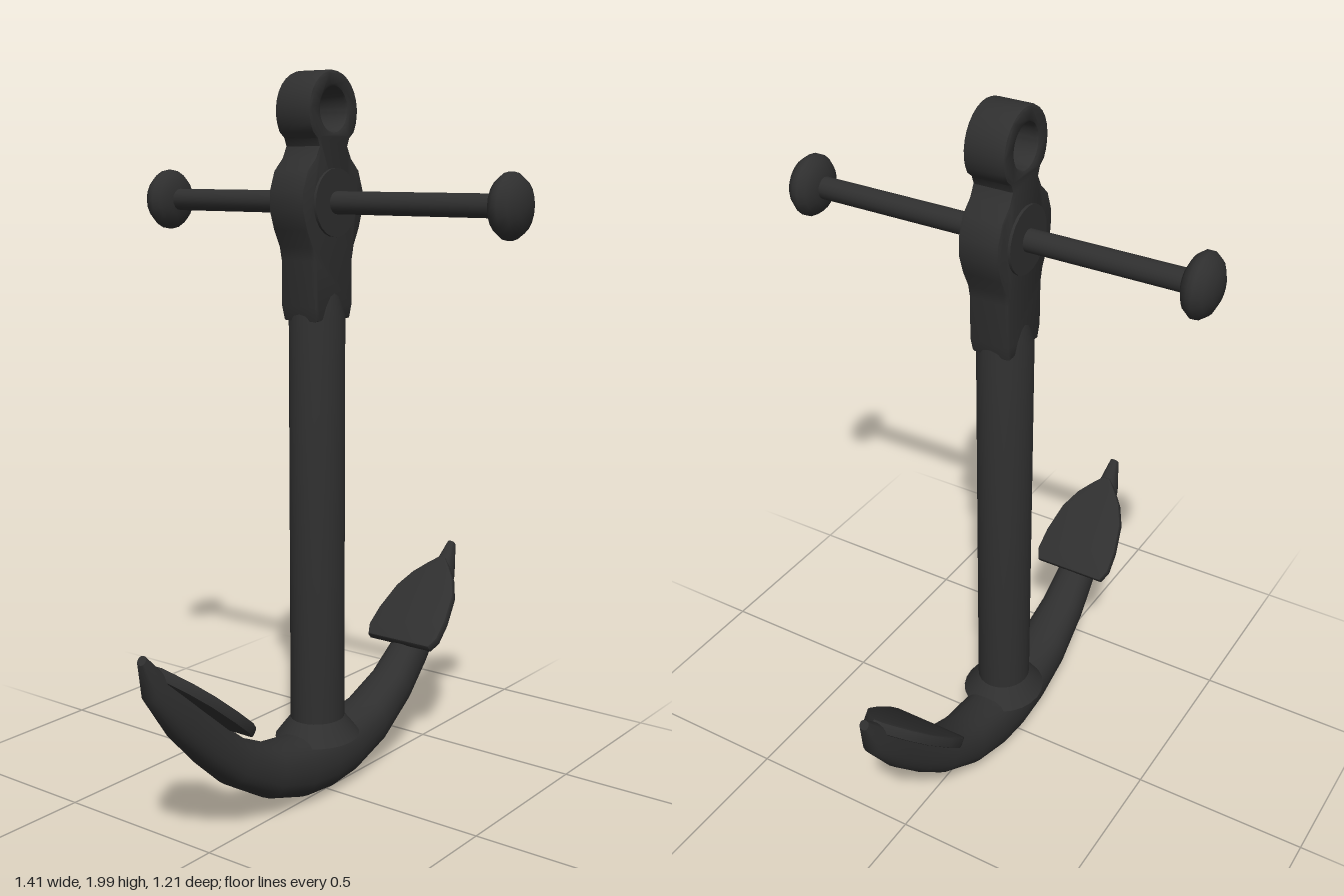
import * as THREE from 'three';
import { toCreasedNormals } from 'three/addons/utils/BufferGeometryUtils.js';

export function createModel() {
  const model = new THREE.Group();
  model.name = 'anchor';
  const iron = new THREE.MeshStandardMaterial({ color: 0x2f2f2f });
  iron.name = 'black iron';

  // The shank, arms and head share a plane slightly behind the stock's middle
  const body = new THREE.Group();
  body.name = 'body';
  body.position.z = -0.03;
  model.add(body);

  const add = (parent, name, geometry, crease = 0.6) => {
    const mesh = new THREE.Mesh(toCreasedNormals(geometry, crease), iron);
    mesh.name = name;
    parent.add(mesh);
    return mesh;
  };

  // Curved arms: rounded sections lofted from tip to tip
  // [outer x, outer y, inner x, inner y, half depth]
  const half = [
    [0.11, 0.02, 0.10, 0.195, 0.081],
    [0.25, 0.065, 0.22, 0.212, 0.075],
    [0.40, 0.155, 0.335, 0.265, 0.064],
    [0.50, 0.245, 0.41, 0.325, 0.056],
    [0.60, 0.35, 0.52, 0.425, 0.045],
    [0.685, 0.47, 0.63, 0.53, 0.032],
    [0.706, 0.57, 0.69, 0.59, 0.013],
  ];
  const mirrored = half.map(([a, b, c, d, e]) => [-a, b, -c, d, e]).reverse();
  const stations = [...mirrored, [0, 0.01, 0, 0.19, 0.083], ...half];
  const sides = 20;
  const round = (v) => Math.sign(v) * Math.abs(v) ** 0.85;
  const points = [], faces = [];
  stations.forEach(([ox, oy, ix, iy, depth], s) => {
    for (let i = 0; i < sides; i++) {
      const a = (i / sides) * Math.PI * 2;
      const t = (1 + round(Math.cos(a))) / 2;
      points.push(ox + (ix - ox) * t, oy + (iy - oy) * t, depth * round(Math.sin(a)));
      if (s === 0) continue;
      const j = (i + 1) % sides, p = (s - 1) * sides, q = s * sides;
      faces.push(p + i, q + i, p + j, p + j, q + i, q + j);
    }
  });
  const last = (stations.length - 1) * sides;
  for (let i = 1; i < sides - 1; i++) {
    faces.push(0, i, i + 1, last, last + i + 1, last + i);
  }
  // Put the corner order right for outward faces
  for (let i = 0; i < faces.length; i += 3) {
    [faces[i + 1], faces[i + 2]] = [faces[i + 2], faces[i + 1]];
  }
  const armGeometry = new THREE.BufferGeometry();
  armGeometry.setAttribute('position', new THREE.Float32BufferAttribute(points, 3));
  armGeometry.setIndex(orient(armGeometry, faces));
  add(body, 'arms', armGeometry, 0.8);

  // Round shank, flared at the foot and tapering into the flat head
  const shank = new THREE.LatheGeometry([
    [0.125, 0.17], [0.105, 0.195], [0.08, 0.225], [0.08, 1.36], [0.06, 1.43], [0, 1.43],
  ].map(([r, y]) => new THREE.Vector2(r, y)), 24);
  shank.scale(1, 1, 0.93);
  add(body, 'shank', shank);

  // Flat head: neck, swollen boss and eye in one outline
  const side = [
    [0.072, 1.35], [0.084, 1.39], [0.084, 1.51], [0.092, 1.545], [0.115, 1.59], [0.132, 1.64], [0.132, 1.69],
    [0.112, 1.743], [0.078, 1.775], [0.062, 1.805], [0.07, 1.825],
  ];
  const outline = side.map(([x, y]) => new THREE.Vector2(x, y));
  for (let i = 0; i <= 20; i++) {
    const a = -0.55 + (i / 20) * (Math.PI + 1.1);
    outline.push(new THREE.Vector2(0.105 * Math.cos(a), 1.895 + 0.105 * Math.sin(a)));
  }
  outline.push(...[...side].reverse().map(([x, y]) => new THREE.Vector2(-x, y)));
  const headShape = new THREE.Shape(outline);
  const eye = new THREE.Path();
  eye.absarc(0, 1.9, 0.057, 0, Math.PI * 2, true);
  headShape.holes.push(eye);
  const head = new THREE.ExtrudeGeometry(headShape, {
    depth: 0.096, bevelEnabled: true, bevelThickness: 0.01, bevelSize: 0.008,
    bevelOffset: -0.008, bevelSegments: 2, curveSegments: 24,
  });
  head.translate(0, 0, -0.048);
  add(body, 'head', head);

  // Raised hub around the stock
  const hub = new THREE.CylinderGeometry(0.09, 0.09, 0.131, 24);
  hub.rotateX(Math.PI / 2);
  add(body, 'hub', hub).position.y = 1.66;

  // Pointed flukes laid on the inner side of each arm
  const edge = [[0, 0.11], [0.035, 0.124], [0.1, 0.121], [0.19, 0.103], [0.25, 0.073], [0.29, 0.04], [0.32, 0.012]];
  const flukeShape = new THREE.Shape([
    ...edge.map(([u, w]) => new THREE.Vector2(u, -w)),
    ...[...edge].reverse().map(([u, w]) => new THREE.Vector2(u, w)),
  ]);
  const angle = 0.71, c = Math.cos(angle), s = Math.sin(angle);
  for (const dir of [1, -1]) {
    const fluke = new THREE.ExtrudeGeometry(flukeShape, {
      depth: 0.018, bevelThickness: 0.006, bevelSize: 0.006, bevelOffset: -0.006, bevelSegments: 2,
    });
    fluke.applyMatrix4(new THREE.Matrix4().makeBasis(
      new THREE.Vector3(c, s, 0), new THREE.Vector3(0, 0, -1), new THREE.Vector3(-s, c, 0)));
    fluke.translate(0.413, 0.322, 0);
    if (dir < 0) fluke.rotateY(Math.PI);
    add(body, dir > 0 ? 'leftFluke' : 'rightFluke', fluke);
  }

  // Stock: a crossbar through the hub with a knob at each end
  const stock = new THREE.Group();
  stock.name = 'stock';
  stock.position.y = 1.66;
  model.add(stock);
  const bar = new THREE.CylinderGeometry(0.03, 0.03, 1.1, 16);
  bar.rotateX(Math.PI / 2);
  add(stock, 'bar', bar);
  for (const dir of [1, -1]) {
    const knob = new THREE.LatheGeometry([
      [0, 0.52], [0.045, 0.522], [0.07, 0.535], [0.083, 0.553], [0.083, 0.567],
      [0.068, 0.588], [0.04, 0.602], [0, 0.607],
    ].map(([r, y]) => new THREE.Vector2(r, y)), 20);
    knob.rotateX(dir * Math.PI / 2);
    add(stock, dir > 0 ? 'frontKnob' : 'backKnob', knob, 0.8);
  }
  return model;
}

// Flips all triangles when the enclosed volume comes out negative
function orient(geometry, faces) {
  const p = geometry.attributes.position;
  const corner = (i) => new THREE.Vector3().fromBufferAttribute(p, i);
  let volume = 0;
  for (let i = 0; i < faces.length; i += 3) {
    volume += corner(faces[i]).dot(corner(faces[i + 1]).cross(corner(faces[i + 2])));
  }
  return volume < 0 ? [...faces].reverse() : faces;
}
